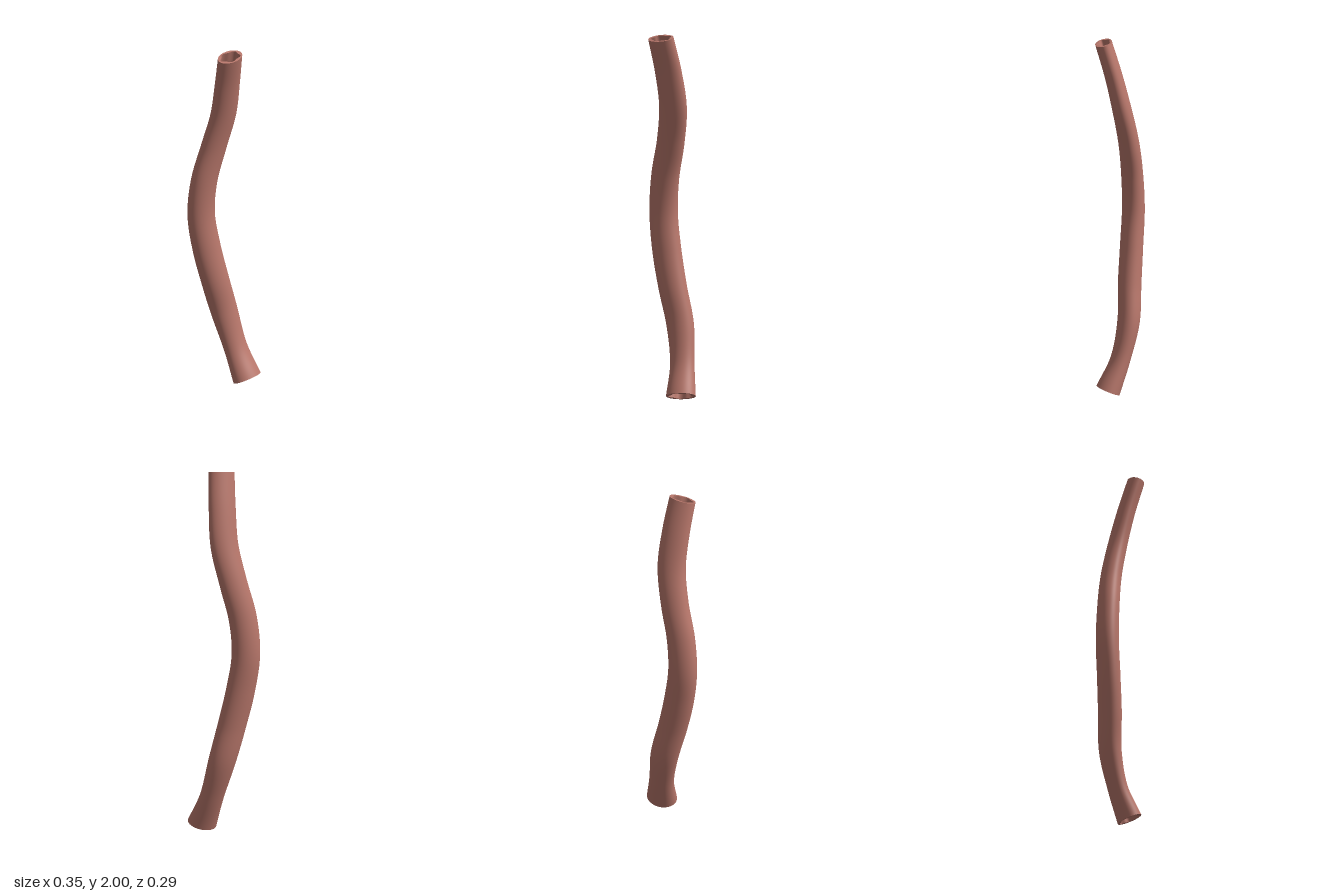
import * as THREE from 'three';

const SIDES = 60, STEPS = 90;

// Stations from bottom to top: centre x, y, z, then half width and half depth
const STATIONS = [
  [0.088, 0.031, 0.083, 0.083, 0.066],
  [0.062, 0.20, 0.010, 0.068, 0.053],
  [0.026, 0.40, -0.040, 0.077, 0.060],
  [-0.026, 0.60, -0.055, 0.080, 0.063],
  [-0.070, 0.80, -0.073, 0.082, 0.062],
  [-0.095, 1.00, -0.087, 0.080, 0.061],
  [-0.081, 1.20, -0.078, 0.079, 0.059],
  [-0.036, 1.40, -0.052, 0.078, 0.056],
  [-0.003, 1.60, -0.010, 0.079, 0.052],
  [-0.010, 1.80, 0.036, 0.077, 0.048],
  [-0.029, 1.987, 0.088, 0.074, 0.046],
];

const smooth = (points) => new THREE.CatmullRomCurve3(points, false, 'catmullrom', 0.5);
const path = smooth(STATIONS.map(([x, y, z]) => new THREE.Vector3(x, y, z)));
const radii = smooth(STATIONS.map(([, , , rx, rz]) => new THREE.Vector3(rx, rz, 0)));

const outerScale = () => 1;
// The bore has five soft lobes
const boreScale = (a) => 0.78 + 0.08 * Math.cos(5 * (a - Math.PI / 6));

// One oval cross-section, square to the path
function ring(t, scale) {
  const c = path.getPoint(t), r = radii.getPoint(t), dir = path.getTangent(t);
  const u = new THREE.Vector3(1, 0, 0).addScaledVector(dir, -dir.x).normalize();
  const v = new THREE.Vector3().crossVectors(u, dir);
  return Array.from({ length: SIDES }, (_, j) => {
    const a = (j / SIDES) * Math.PI * 2, s = scale(a);
    return c.clone()
      .addScaledVector(u, Math.cos(a) * r.x * s)
      .addScaledVector(v, Math.sin(a) * r.y * s);
  });
}

// Skin a list of closed rings
function skin(rings) {
  const index = [];
  for (let i = 0; i < rings.length - 1; i++) {
    for (let j = 0; j < SIDES; j++) {
      const k = (j + 1) % SIDES;
      const a = i * SIDES + j, b = a + SIDES, c = i * SIDES + k, d = c + SIDES;
      index.push(a, b, c, b, d, c);
    }
  }
  const geometry = new THREE.BufferGeometry().setFromPoints(rings.flat());
  geometry.setIndex(index);
  geometry.computeVertexNormals();
  return geometry;
}

export function createModel() {
  const group = new THREE.Group();
  group.name = 'curvedTube';
  const clay = new THREE.MeshStandardMaterial({ color: 0xb8776b });
  clay.name = 'dusty red';

  const ts = Array.from({ length: STEPS + 1 }, (_, i) => i / STEPS);
  const outer = ts.map((t) => ring(t, outerScale));
  const bore = ts.map((t) => ring(t, boreScale));

  const parts = {
    outerWall: outer,
    innerWall: [...bore].reverse(),
    topRim: [outer[STEPS], bore[STEPS]],
    bottomRim: [bore[0], outer[0]],
  };
  for (const [name, rings] of Object.entries(parts)) {
    const mesh = new THREE.Mesh(skin(rings), clay);
    mesh.name = name;
    group.add(mesh);
  }
  return group;
}
